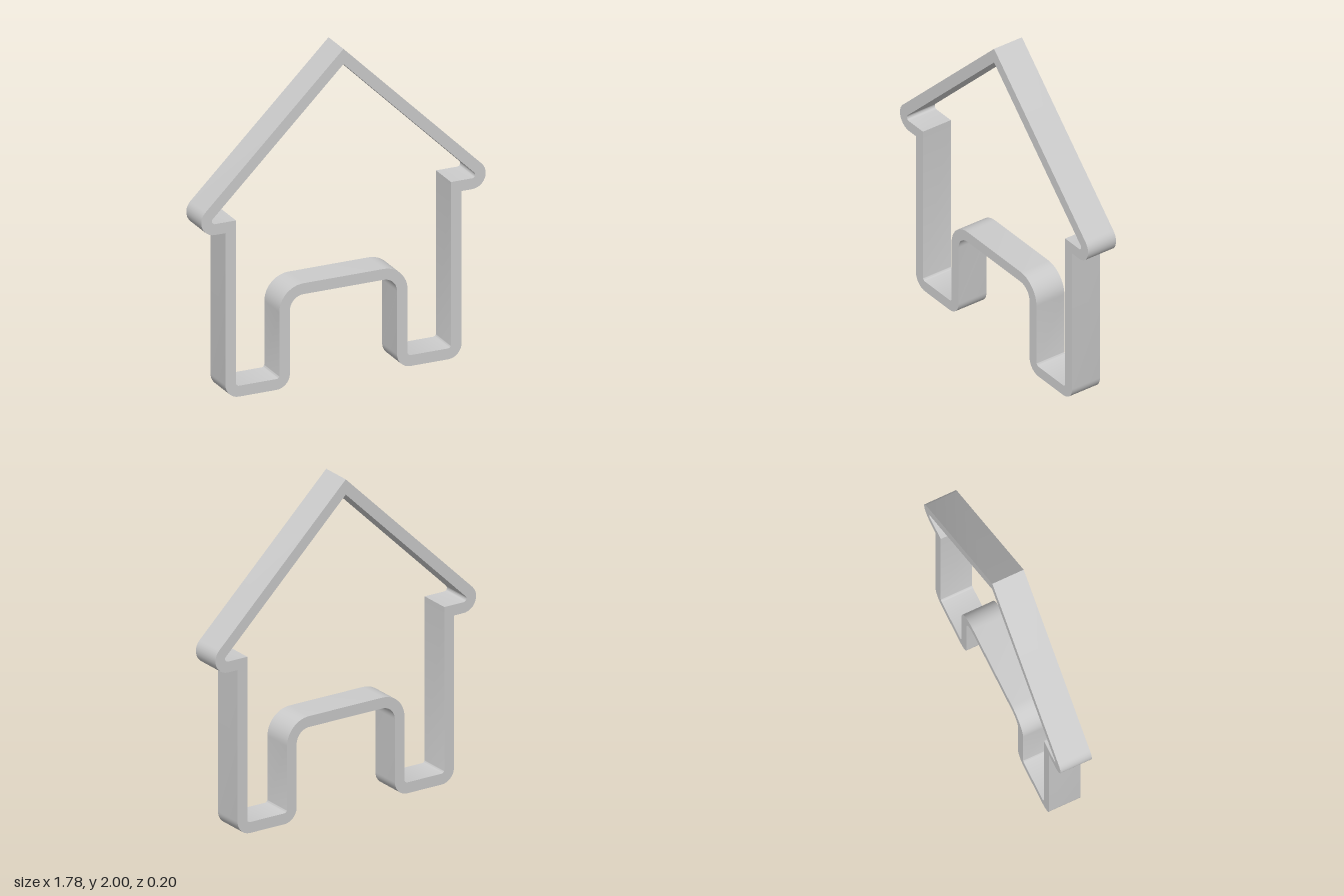
import * as THREE from 'three';
import { toCreasedNormals } from 'three/addons/utils/BufferGeometryUtils.js';

const DEPTH = 0.196;
const WALL = 0.066;
const ARC_STEPS = 12;

// Closed outline through corners [x, y, radius]; a radius of 0 stays sharp.
function roundedOutline(corners) {
  const points = [];
  const n = corners.length;
  corners.forEach(([x, y, r], i) => {
    const corner = new THREE.Vector2(x, y);
    if (r === 0) {
      points.push(corner);
      return;
    }
    const [px, py] = corners[(i + n - 1) % n];
    const [nx, ny] = corners[(i + 1) % n];
    const toPrev = new THREE.Vector2(px - x, py - y).normalize();
    const toNext = new THREE.Vector2(nx - x, ny - y).normalize();
    const half = Math.acos(toPrev.dot(toNext)) / 2;
    const centre = toPrev.clone().add(toNext).normalize()
      .multiplyScalar(r / Math.sin(half)).add(corner);
    const start = toPrev.clone().multiplyScalar(r / Math.tan(half)).add(corner).sub(centre);
    const end = toNext.clone().multiplyScalar(r / Math.tan(half)).add(corner).sub(centre);
    const sweep = Math.atan2(start.cross(end), start.dot(end));
    for (let k = 0; k <= ARC_STEPS; k++) {
      points.push(start.clone()
        .rotateAround(new THREE.Vector2(), (sweep * k) / ARC_STEPS).add(centre));
    }
  });
  return points;
}

// House silhouette inset by t, clockwise: right half from apex to doorway, then mirrored.
function houseOutline(t) {
  const slope = 0.98;
  const apex = 2 - t * Math.hypot(1, slope);
  const eaveY = 1.008 + t;
  const convex = 0.085 - t; // outward corners tighten with the inset
  const half = [
    [(apex - eaveY) / slope, eaveY, convex], // eave tip
    [0.738 - t, eaveY, 0],                   // eave meets wall
    [0.738 - t, t, convex],                  // foot, outer corner
    [0.335 + t, t, convex],                  // foot, door corner
    [0.335 + t, 0.553 + t, 0.085 + t],       // doorway top corner
  ];
  const mirrored = half.map(([x, y, r]) => [-x, y, r]).reverse();
  return roundedOutline([[0, apex, 0], ...half, ...mirrored]);
}

// Closed band with a rectangular section between two matching outlines.
function bandGeometry(outer, inner, depth) {
  const z = depth / 2;
  const rings = [[outer, z], [inner, z], [inner, -z], [outer, -z]];
  const n = outer.length;
  const positions = rings.flatMap(([ring, ringZ]) => ring.flatMap((p) => [p.x, p.y, ringZ]));
  const indices = [];
  for (let k = 0; k < 4; k++) {
    const a = k * n;
    const b = ((k + 1) % 4) * n;
    for (let i = 0; i < n; i++) {
      const j = (i + 1) % n;
      indices.push(a + i, b + i, b + j, a + i, b + j, a + j);
    }
  }
  const geometry = new THREE.BufferGeometry();
  geometry.setAttribute('position', new THREE.Float32BufferAttribute(positions, 3));
  geometry.setIndex(indices);
  return toCreasedNormals(geometry, Math.PI / 6);
}

export function createModel() {
  const group = new THREE.Group();
  group.name = 'houseCutter';

  // Thin band following the house silhouette
  const band = new THREE.Mesh(
    bandGeometry(houseOutline(0), houseOutline(WALL), DEPTH),
    new THREE.MeshStandardMaterial({ color: 0xcccccc })
  );
  band.name = 'houseOutlineBand';
  group.add(band);
  return group;
}
